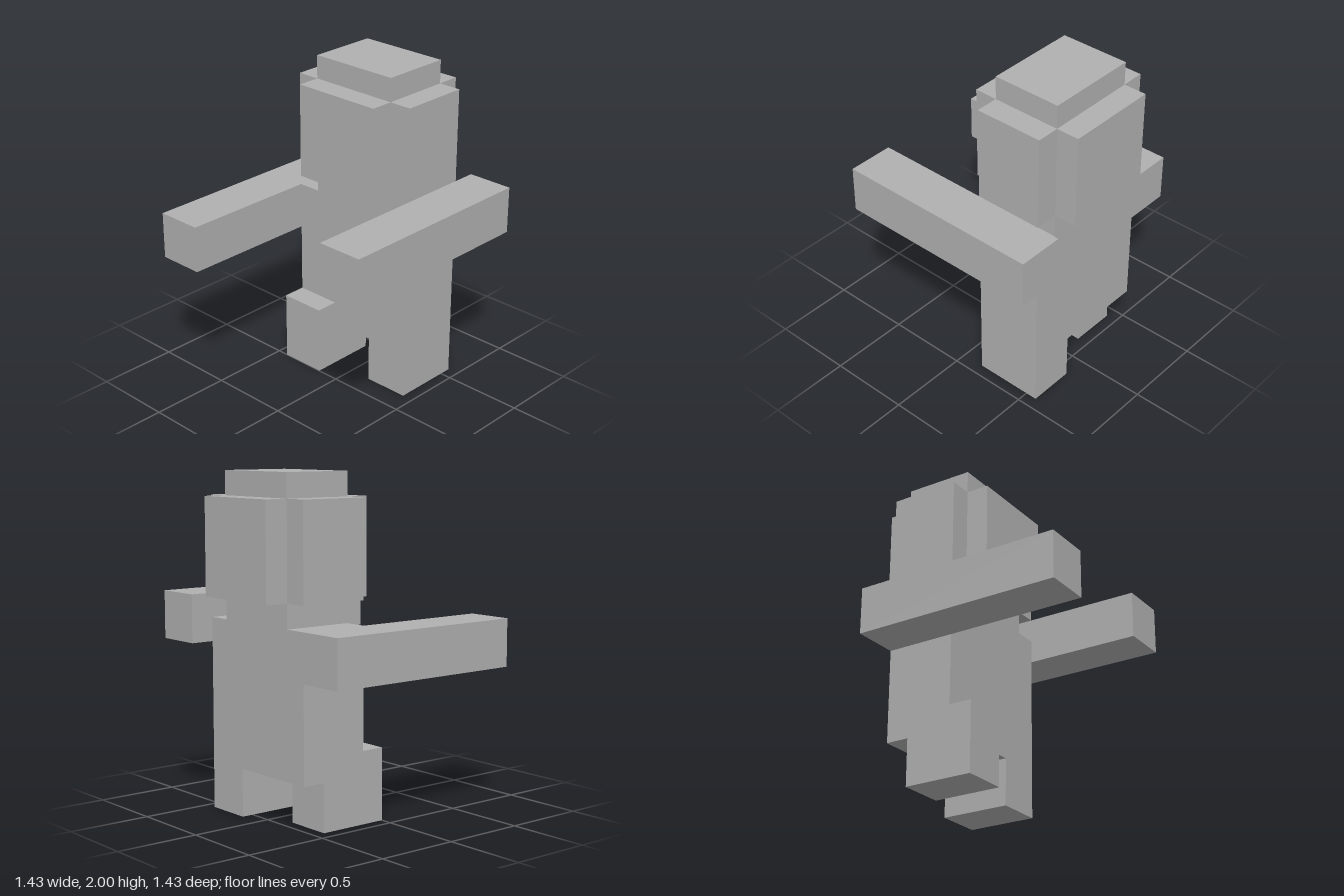
import * as THREE from 'three';

const U = 1 / 7; // one block unit

export function createModel() {
  const model = new THREE.Group();
  model.name = 'blockFigure';
  const grey = new THREE.MeshStandardMaterial({ color: 0xb0b0b0 });
  grey.name = 'grey';

  // Box given by its limits on each axis, in block units
  function block(name, [x0, x1], [y0, y1], [z0, z1]) {
    const geometry = new THREE.BoxGeometry((x1 - x0) * U, (y1 - y0) * U, (z1 - z0) * U);
    const mesh = new THREE.Mesh(geometry, grey);
    mesh.name = name;
    mesh.position.set((x0 + x1) / 2 * U, (y0 + y1) / 2 * U, (z0 + z1) / 2 * U);
    model.add(mesh);
  }

  // Torso, and the head core that also forms the neck
  block('torso', [-3, 3], [2, 8], [-4, -1]);
  block('headCore', [-2, 2], [8, 14], [-4, -1]);

  // Plates around the head
  block('face', [-2, 2], [9, 13], [-1, 0]);
  block('headBack', [-2, 2], [9, 13], [-5, -4]);
  block('headRightSide', [-3, -2], [9, 13], [-4, -1]);
  block('headLeftSide', [2, 3], [9, 13], [-4, -1]);

  // Arms stretched forward, the left one higher and further back
  block('rightArm', [-5, -3], [6, 8], [-4, 5]);
  block('leftArm', [3, 5], [7, 9], [-5, 4]);

  // Legs, the right one stepping forward
  block('rightLeg', [-3, -1], [0, 3], [-3, 0]);
  block('leftLeg', [1, 3], [0, 2], [-4, -1]);

  return model;
}
